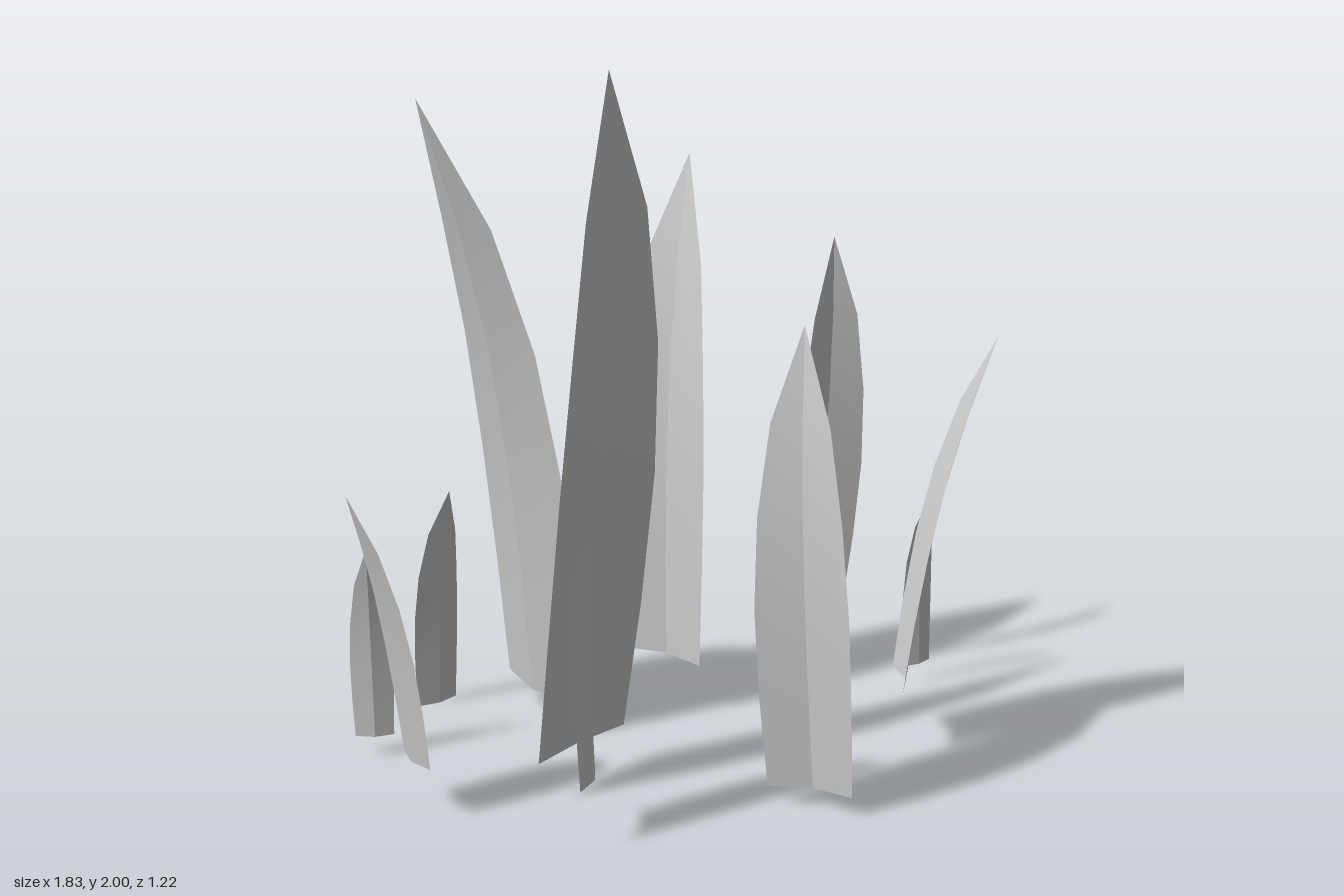
import * as THREE from 'three';

// Blade stations: [fraction of height, width relative to the base]
const PROFILE = [[0, 1], [0.2, 1.08], [0.4, 1.1], [0.6, 0.98], [0.8, 0.69], [1, 0]];

// Each blade: base corners a and b as [x, z], base height y, tip [x, y, z],
// bow (how far the middle curves out) and fold (crease depth relative to width)
const BLADES = [
  { name: 'tallFrontBlade', a: [-0.42, 0.3], b: [-0.15, 0.07], y: 0.12, tip: [-0.19, 2, 0.14], bow: 0.065, fold: 0.04 },
  { name: 'tallBackBlade', a: [-0.25, -0.14], b: [-0.42, -0.44], y: 0.1, tip: [-0.68, 1.9, -0.08], bow: 0.1 },
  { name: 'middleBackBlade', a: [-0.08, -0.44], b: [0.125, -0.25], y: 0.15, tip: [0.132, 1.65, -0.48], bow: 0.075 },
  { name: 'leftBackBlade', a: [0.41, -0.42], b: [0.61, -0.48], y: 0.225, tip: [0.56, 1.39, -0.46], bow: 0.05 },
  { name: 'leftFrontBlade', a: [0.2, 0.4], b: [0.41, 0.52], y: 0.055, tip: [0.3, 1.34, 0.33], bow: 0.065 },
  { name: 'leftOuterBlade', a: [0.66, -0.04], b: [0.64, 0.16], y: 0.2, tip: [0.91, 1.215, 0.07], bow: 0.05 },
  { name: 'rightOuterBlade', a: [-0.72, 0.355], b: [-0.78, 0.22], y: 0.15, tip: [-0.92, 0.94, 0.35], bow: 0.035 },
  { name: 'rightShortBlade', a: [-0.79, -0.105], b: [-0.9, -0.11], y: 0.06, tip: [-0.855, 0.65, -0.04], bow: 0.025 },
  { name: 'rightBackShortBlade', a: [-0.58, -0.5], b: [-0.7, -0.435], y: 0, tip: [-0.595, 0.7, -0.36], bow: 0.035 },
  { name: 'leftBackShortBlade', a: [0.87, -0.405], b: [0.78, -0.36], y: 0.06, tip: [0.84, 0.63, -0.32], bow: 0.03 },
  { name: 'rearShortBlade', a: [-0.2, -0.61], b: [-0.28, -0.5], y: 0.05, tip: [-0.125, 0.73, -0.49], bow: 0.04 },
  { name: 'narrowFrontBlade', a: [-0.285, 0.45], b: [-0.345, 0.605], y: 0.17, tip: [-0.278, 1.13, 0.54], bow: 0.035 },
];

// A creased leaf lofted from V-shaped cross-sections; each half keeps its own
// vertices so the central crease stays sharp
function bladeGeometry({ a, b, y, tip, bow, fold = 0.12 }) {
  const base = new THREE.Vector3((a[0] + b[0]) / 2, y, (a[1] + b[1]) / 2);
  const end = new THREE.Vector3(...tip);
  const across = new THREE.Vector3(b[0] - a[0], 0, b[1] - a[1]);
  const width = across.length();
  const out = new THREE.Vector3(-across.z, 0, across.x).normalize();

  const positions = [], index = [];
  const rows = PROFILE.length;
  [-1, 1].forEach((side) => {
    const start = positions.length / 3;
    PROFILE.forEach(([t, w], i) => {
      const mid = base.clone().lerp(end, t).addScaledVector(out, bow * 2.6 * t * (1 - t * t));
      const edge = mid.clone().addScaledVector(across, side * w / 2);
      const crease = mid.addScaledVector(out, -fold * width * w);
      const [p, q] = side < 0 ? [edge, crease] : [crease, edge];
      positions.push(...p.toArray(), ...q.toArray());
      if (i === rows - 1) return;
      const k = start + i * 2;
      index.push(k, k + 1, k + 2);
      if (i < rows - 2) index.push(k + 1, k + 3, k + 2);
    });
    // Both last points meet at the tip, so the last triangle closes the half;
    // use the point that leaves no gap between the two
  });
  const geometry = new THREE.BufferGeometry();
  geometry.setAttribute('position', new THREE.Float32BufferAttribute(positions, 3));
  geometry.setIndex(index);
  geometry.computeVertexNormals();
  return geometry;
}

export function createModel() {
  const group = new THREE.Group();
  group.name = 'grassTuft';
  const material = new THREE.MeshStandardMaterial({ color: 0xcccccc, side: THREE.DoubleSide });
  for (const blade of BLADES) {
    const mesh = new THREE.Mesh(bladeGeometry(blade), material);
    mesh.name = blade.name;
    group.add(mesh);
  }
  return group;
}
